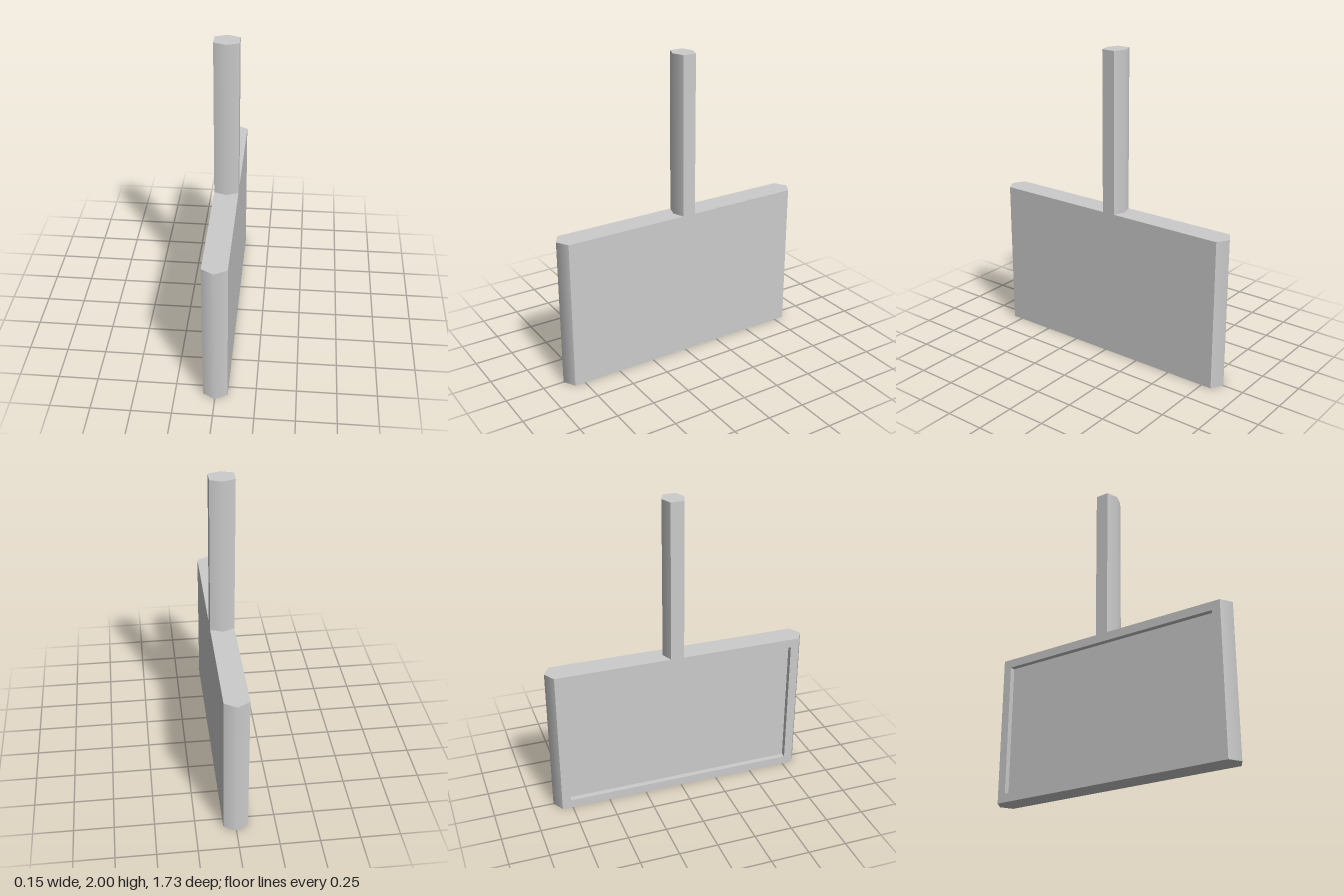
import * as THREE from 'three';

const HALF = 0.077;      // half thickness in x
const BLADE_H = 0.97;
const SHOULDER = 0.818;  // half width of the flat sides
const BORDER = 0.056;    // rim around the recess
const DEPTH = 0.035;     // recess depth

// Upright six-sided bar with pointed front and back, shaded smoothly across each point
function pointedBar(backTip, back, front, frontTip, height) {
  const shape = new THREE.Shape([
    [0, -frontTip], [HALF, -front], [HALF, -back],
    [0, -backTip], [-HALF, -back], [-HALF, -front],
  ].map(([x, y]) => new THREE.Vector2(x, y)));
  const geo = new THREE.ExtrudeGeometry(shape, { depth: height, bevelEnabled: false });
  geo.rotateX(-Math.PI / 2);
  const pos = geo.attributes.position, nor = geo.attributes.normal;
  for (let i = 0; i < pos.count; i++) {
    if (Math.abs(pos.getX(i)) < 1e-5 && Math.abs(nor.getY(i)) < 0.5) {
      nor.setXYZ(i, 0, 0, Math.sign(nor.getZ(i)));
    }
  }
  return geo;
}

// Remove the flat face on the -x side so the recess can open there
function openRightSide(geo) {
  const nor = geo.attributes.normal, keep = [];
  for (let i = 0; i < nor.count; i += 3) {
    if (nor.getX(i) > -0.99) keep.push(i, i + 1, i + 2);
  }
  geo.clearGroups();
  geo.setIndex(keep);
  return geo;
}

export function createModel() {
  const group = new THREE.Group();
  const material = new THREE.MeshStandardMaterial({ color: 0xcccccc });
  const add = (name, geo) => {
    const mesh = new THREE.Mesh(geo, material);
    mesh.name = name;
    group.add(mesh);
    return mesh;
  };

  // Wide blade
  add('blade', openRightSide(pointedBar(-0.863, -SHOULDER, SHOULDER, 0.863, BLADE_H)));

  // Flat rim around the recess
  const rect = (w, y0, y1) => [[-w, y0], [w, y0], [w, y1], [-w, y1]]
    .map(([x, y]) => new THREE.Vector2(x, y));
  const rimShape = new THREE.Shape(rect(SHOULDER, 0, BLADE_H));
  rimShape.holes.push(new THREE.Path(rect(SHOULDER - BORDER, BORDER, BLADE_H - BORDER)));
  add('rim', new THREE.ShapeGeometry(rimShape).rotateY(-Math.PI / 2).translate(-HALF, 0, 0));

  // Recess: an open box turned inside out
  const recess = new THREE.BoxGeometry(DEPTH, BLADE_H - 2 * BORDER, 2 * (SHOULDER - BORDER));
  recess.setIndex(Array.from(recess.index.array).slice(6));
  recess.clearGroups();
  recess.scale(-1, 1, 1);
  const n = recess.attributes.normal;
  for (let i = 0; i < n.count; i++) n.setXYZ(i, -n.getX(i), -n.getY(i), -n.getZ(i));
  recess.translate(-HALF + DEPTH / 2, BLADE_H / 2, 0);
  add('recess', recess);

  // Handle, set slightly behind the middle
  add('handle', pointedBar(-0.099, -0.069, 0.018, 0.045, 2 - BLADE_H)).position.y = BLADE_H;

  return group;
}
